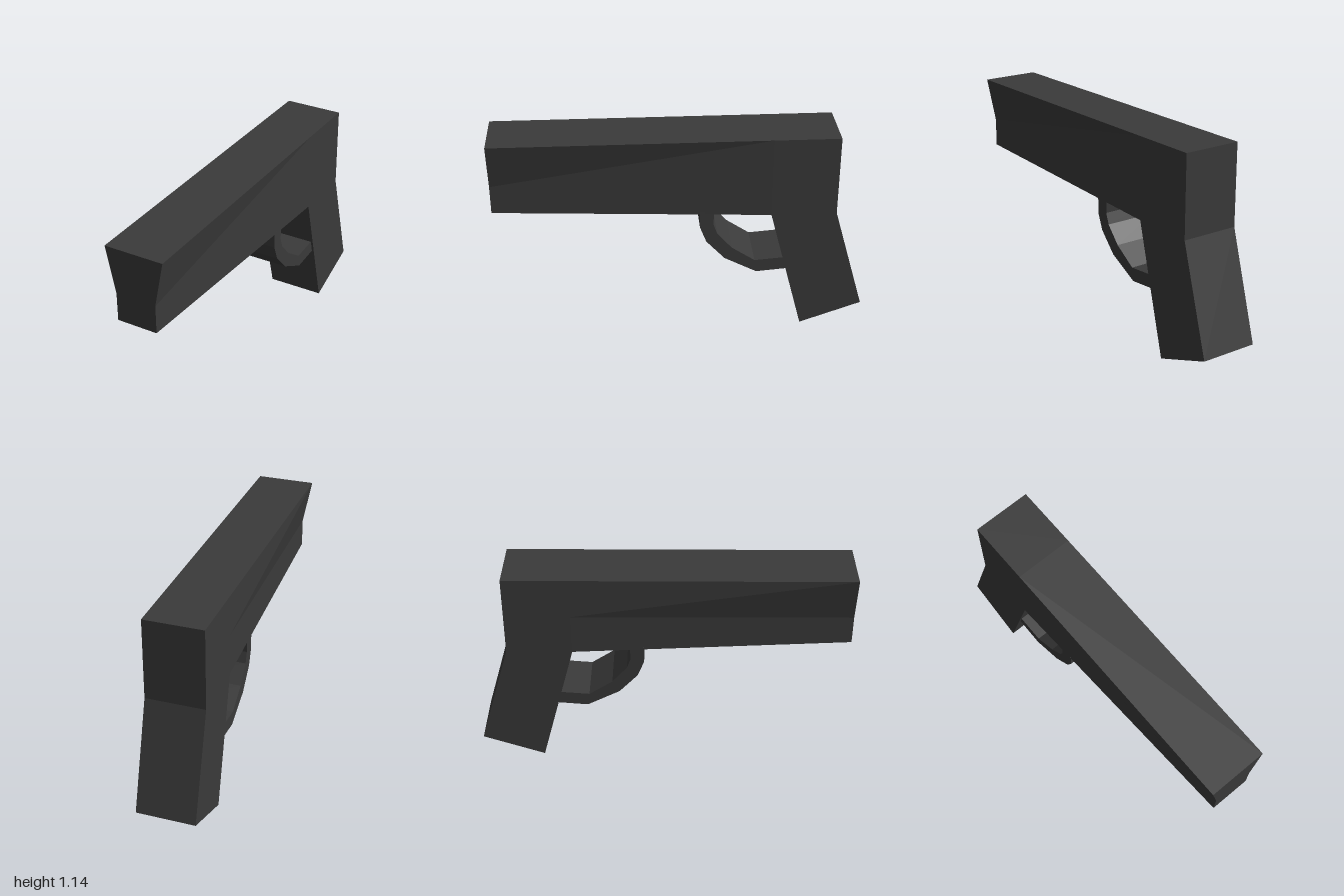
import * as THREE from 'three';

const HALF = 0.16;

// Side profile given as [z, y] points, extruded across x and centred
function sideExtrude(points, halfWidth) {
  const shape = new THREE.Shape(points.map(([z, y]) => new THREE.Vector2(z, y)));
  const geo = new THREE.ExtrudeGeometry(shape, { depth: halfWidth * 2, bevelEnabled: false });
  geo.translate(0, 0, -halfWidth);
  geo.rotateY(-Math.PI / 2);
  return geo;
}

// Mirrored six-sided cross-section: bottom, waist and top, as [half width, y]
function section(z, bottom, waist, top) {
  const right = [bottom, waist, top].map(([x, y]) => [x, y, z]);
  const left = [top, waist, bottom].map(([x, y]) => [-x, y, z]);
  return [...right, ...left];
}

// Faceted skin through the cross-sections, front to back, with end caps
function loft(sections) {
  const n = 6;
  const index = [];
  const quad = (a, b, c, d) => index.push(a, b, c, a, c, d);
  for (let s = 0; s < sections.length - 1; s++) {
    for (let i = 0; i < n; i++) {
      const a = s * n + i, b = s * n + (i + 1) % n;
      quad(a, a + n, b + n, b);
    }
  }
  const e = (sections.length - 1) * n;
  quad(0, 1, 4, 5);
  quad(1, 2, 3, 4);
  quad(e + 5, e + 4, e + 1, e);
  quad(e + 4, e + 3, e + 2, e + 1);
  const indexed = new THREE.BufferGeometry();
  indexed.setAttribute('position', new THREE.Float32BufferAttribute(sections.flat(2), 3));
  indexed.setIndex(index);
  const geo = indexed.toNonIndexed();
  geo.computeVertexNormals();
  return geo;
}

export function createModel() {
  const model = new THREE.Group();
  model.name = 'blockyPistol';
  const charcoal = new THREE.MeshStandardMaterial({ color: 0x3a3a3a });
  charcoal.name = 'charcoal';

  const add = (name, geometry) => {
    const mesh = new THREE.Mesh(geometry, charcoal);
    mesh.name = name;
    model.add(mesh);
  };

  // Upper body: pinched lower half at the front, widening to a plain block
  add('body', loft([
    section(1, [0.11, 0.735], [0.11, 0.89], [HALF, 1.14]),
    section(-0.48, [HALF, 0.70], [HALF, 0.92], [HALF, 1.14]),
    section(-0.83, [HALF, 0.70], [HALF, 0.92], [HALF, 1.14]),
  ]));

  // Raked grip
  add('grip', sideExtrude([[-0.48, 0.70], [-0.83, 0.70], [-1, 0.12], [-0.665, 0]], HALF));

  // Wide faceted trigger guard, ends tucked into body and grip
  const outer = [[-0.10, 0.72], [-0.10, 0.63], [-0.135, 0.54], [-0.235, 0.432], [-0.41, 0.34], [-0.59, 0.355]];
  const inner = [[-0.175, 0.72], [-0.172, 0.647], [-0.193, 0.588], [-0.273, 0.497], [-0.40, 0.412], [-0.59, 0.427]];
  add('triggerGuard', sideExtrude([...outer, ...inner.reverse()], 0.148));

  return model;
}
